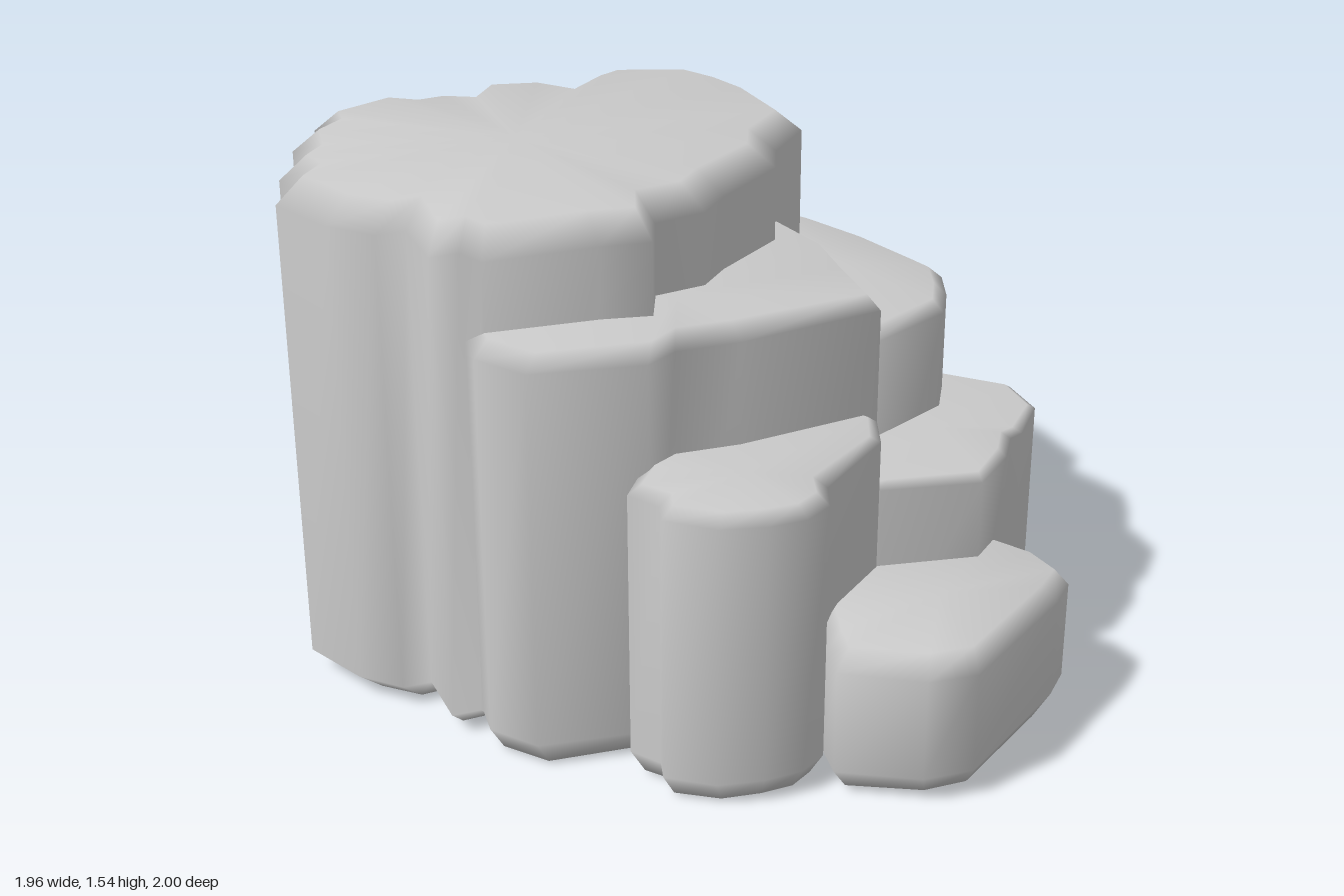
import * as THREE from 'three';

const material = new THREE.MeshStandardMaterial({ color: 0xcccccc, roughness: 1 });

// Rock column: a plan outline of [x, z] raised to a bevelled, slightly tilted top
function rockColumn(name, { outline, base, top, bevel, drop, tilt }) {
  let pts = outline.map(([x, z]) => new THREE.Vector2(x, z));
  if (THREE.ShapeUtils.area(pts) > 0) pts = pts.reverse();
  const n = pts.length;
  const mid = pts.reduce((s, p) => s.add(p), new THREE.Vector2()).divideScalar(n);
  const topAt = (p) => top - tilt * (p.x - mid.x + p.y - mid.y);

  // Each ring: inset from the outline and height at a point
  const rings = [
    [bevel, () => base],
    [0, () => base + 0.07],
    [0, (p) => topAt(p) - drop],
    [bevel, (p) => topAt(p)],
  ];
  const pos = [], index = [];
  for (const [inset, height] of rings) {
    for (const p of pts) {
      const q = p.clone().lerp(mid, inset / p.distanceTo(mid));
      pos.push(q.x, height(q), q.y);
    }
  }
  pos.push(mid.x, base, mid.y, mid.x, top, mid.y);
  const last = (rings.length - 1) * n, low = rings.length * n, high = low + 1;
  for (let i = 0; i < n; i++) {
    const j = (i + 1) % n;
    for (let r = 0; r < last; r += n) {
      index.push(r + i, r + j, r + n + j, r + i, r + n + j, r + n + i);
    }
    index.push(j, i, low, last + i, last + j, high);
  }
  const geometry = new THREE.BufferGeometry();
  geometry.setAttribute('position', new THREE.Float32BufferAttribute(pos, 3));
  geometry.setIndex(index);
  geometry.computeVertexNormals();
  const mesh = new THREE.Mesh(geometry, material);
  mesh.name = name;
  return mesh;
}

const columns = {
  // Tall back column with a fluted edge
  summitColumn: {
    base: 0, top: 1.54, bevel: 0.08, drop: 0.07, tilt: 0,
    outline: [
      [-0.98, -0.54], [-0.9, -0.6], [-0.9, -0.69], [-0.83, -0.74], [-0.78, -0.86], [-0.68, -0.91],
      [-0.66, -0.97], [-0.47, -1], [-0.4, -0.94], [-0.31, -0.93], [-0.22, -0.87], [-0.12, -0.93],
      [0.02, -0.86], [0.1, -0.74], [0.22, -0.79], [0.29, -0.8], [0.46, -0.68], [0.5, -0.57],
      [0.52, -0.44], [0.5, -0.22], [0.35, -0.13], [0.28, -0.03], [0.05, 0.06], [-0.05, 0.12],
      [-0.2, 0.11], [-0.27, 0.21], [-0.4, 0.16], [-0.7, 0.08], [-0.72, 0], [-0.8, -0.02],
      [-0.77, -0.2], [-0.85, -0.22], [-0.93, -0.34],
    ],
  },
  // Broad step below the summit
  upperStep: {
    base: 0.01, top: 1.26, bevel: 0.04, drop: 0.05, tilt: 0.02,
    outline: [
      [-0.7, -0.05], [-0.75, 0.11], [-0.68, 0.25], [-0.38, 0.36], [-0.28, 0.33], [-0.1, 0.37],
      [0.33, 0.4], [0.37, 0.22], [0.41, 0.05], [0.38, -0.25], [-0.2, -0.35],
    ],
  },
  // Step on the left side
  sideStep: {
    base: 0.02, top: 1.07, bevel: 0.04, drop: 0.03, tilt: 0.05,
    outline: [
      [0.45, -0.58], [0.59, -0.61], [0.69, -0.47], [0.78, -0.28], [0.83, -0.05], [0.84, 0.02],
      [0.78, 0.12], [0.7, 0.21], [0.4, 0.28], [0.2, 0.1], [0.15, -0.4],
    ],
  },
  // Low corner step
  cornerStep: {
    base: 0.03, top: 0.72, bevel: 0.03, drop: 0.02, tilt: 0.03,
    outline: [
      [0.6, -0.08], [0.84, 0.02], [0.98, 0.19], [0.96, 0.33], [0.83, 0.43], [0.78, 0.44],
      [0.7, 0.52], [0.55, 0.6], [0.28, 0.5], [0.1, 0.45], [0.2, 0.1],
    ],
  },
  // Step at the front right
  frontStep: {
    base: 0.01, top: 0.9, bevel: 0.04, drop: 0.03, tilt: 0.03,
    outline: [
      [-0.4, 0.34], [-0.48, 0.41], [-0.44, 0.5], [-0.47, 0.56], [-0.37, 0.67], [-0.25, 0.72],
      [-0.14, 0.74], [-0.05, 0.71], [0, 0.63], [0.27, 0.5], [0.33, 0.4], [0.2, 0.15], [-0.3, 0.2],
    ],
  },
  // Lowest block at the very front
  footBlock: {
    base: 0.02, top: 0.46, bevel: 0.05, drop: 0.06, tilt: 0.02,
    outline: [
      [0, 0.6], [-0.05, 0.71], [-0.08, 0.8], [0.1, 0.96], [0.24, 1], [0.65, 0.83], [0.74, 0.77],
      [0.74, 0.65], [0.69, 0.53], [0.5, 0.42], [0.2, 0.42],
    ],
  },
};

export function createModel() {
  const group = new THREE.Group();
  group.name = 'steppedRock';
  for (const [name, spec] of Object.entries(columns)) group.add(rockColumn(name, spec));
  return group;
}
